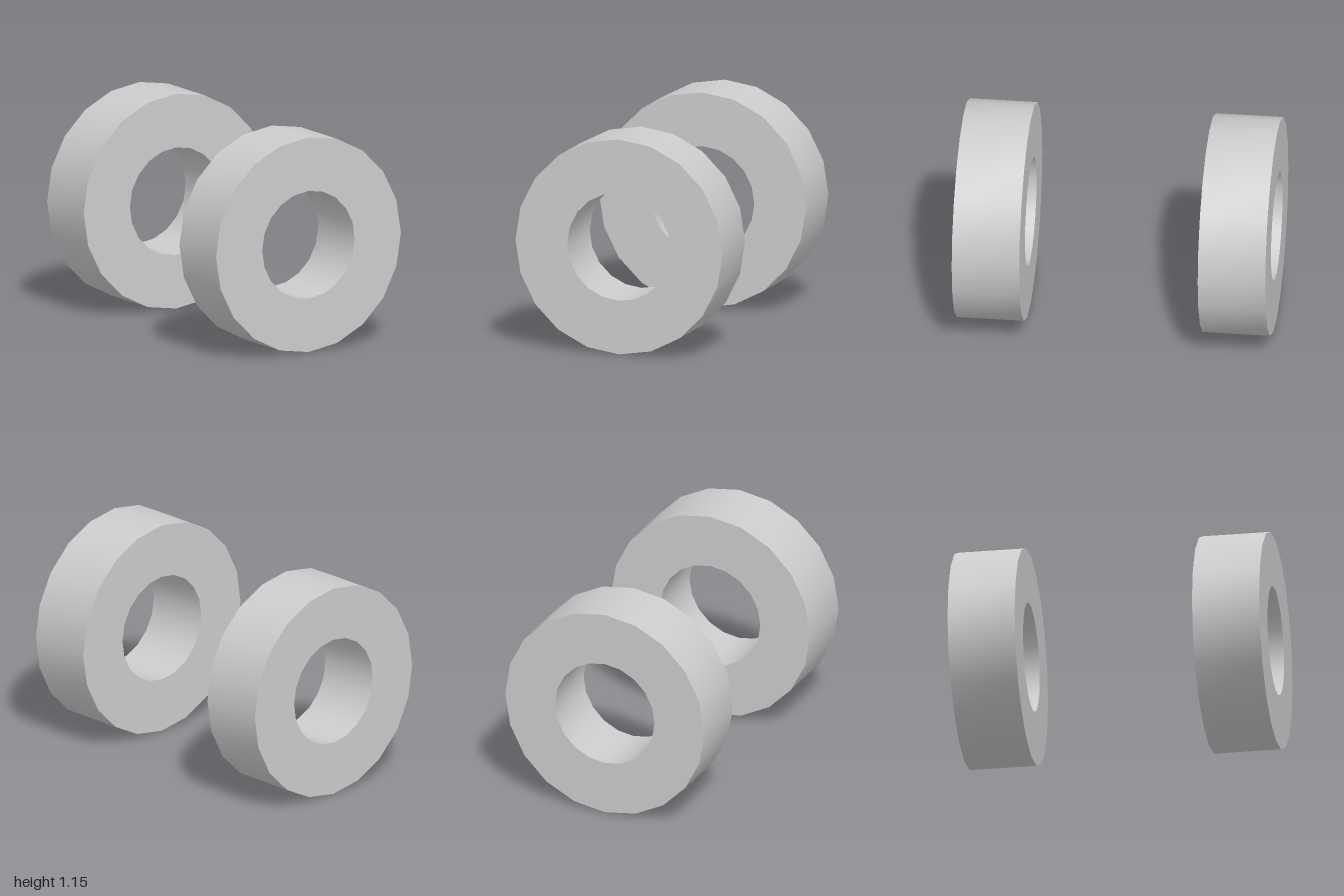
import * as THREE from 'three';
import { toCreasedNormals } from 'three/addons/utils/BufferGeometryUtils.js';

const OUTER = 0.575, INNER = 0.288, HALF_WIDTH = 0.178;
const SEGMENTS = 20;
const YAW = 0.736;

export function createModel() {
  const model = new THREE.Group();
  model.name = 'ringPair';
  const grey = new THREE.MeshStandardMaterial({ color: 0xcccccc });
  grey.name = 'light grey';

  // Closed rectangular section turned into a thick ring, with its axis along z
  const section = [
    [OUTER, -HALF_WIDTH], [OUTER, HALF_WIDTH],
    [INNER, HALF_WIDTH], [INNER, -HALF_WIDTH], [OUTER, -HALF_WIDTH],
  ].map(([r, y]) => new THREE.Vector2(r, y));
  const lathe = new THREE.LatheGeometry(section, SEGMENTS).rotateX(Math.PI / 2);
  const ringGeometry = toCreasedNormals(lathe, Math.PI / 5);

  // Two parallel rings, standing upright and turned to the side
  for (const [name, side] of [['frontRing', 1], ['backRing', -1]]) {
    const ring = new THREE.Mesh(ringGeometry, grey);
    ring.name = name;
    ring.position.set(side * 0.433, 0.58, side * 0.483);
    ring.rotation.y = YAW;
    model.add(ring);
  }

  // Rest the rings on the ground
  model.children.forEach((ring) => { ring.position.y = OUTER; });
  return model;
}
